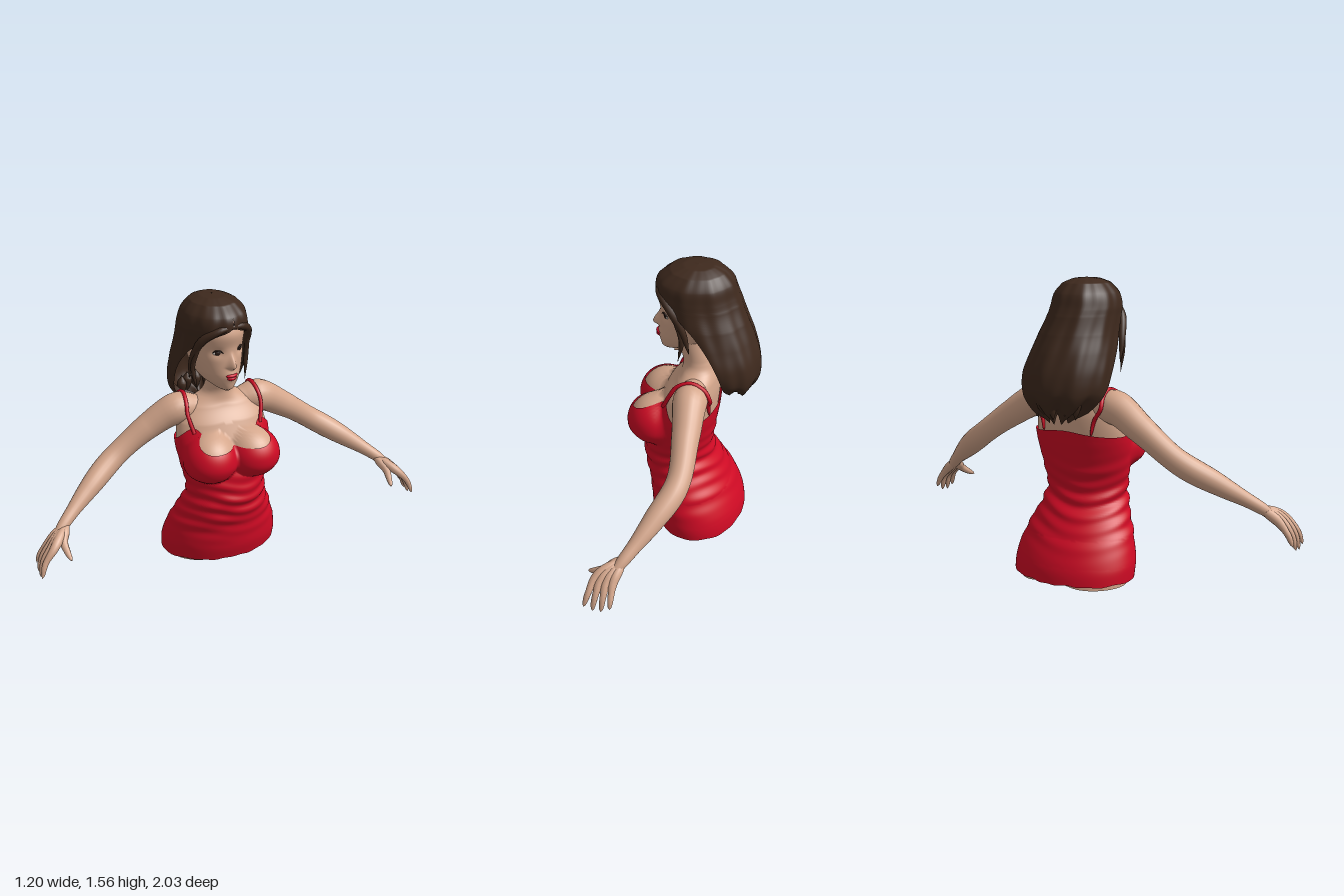
import * as THREE from 'three';
import { ParametricGeometry } from 'three/addons/geometries/ParametricGeometry.js';

const material = (name, color, side = THREE.FrontSide) => {
  const m = new THREE.MeshStandardMaterial({ color, side });
  m.name = name;
  return m;
};
const skin = material('skin', 0xd5a78c, THREE.DoubleSide);
const red = material('dressRed', 0xcf0a24, THREE.DoubleSide);
const brown = material('hairBrown', 0x3e291d, THREE.DoubleSide);
const lipRed = material('lipRed', 0xcc0a28);
const white = material('eyeWhite', 0xd8cec6);
const dark = material('eyeDark', 0x2a1b16);

const V = (x, y, z) => new THREE.Vector3(x, y, z);
const gauss = (x, s) => Math.exp(-(x * x) / (s * s));

// Smoothly interpolated cross-section row at height y (first column is y)
function rowAt(rows, y) {
  let i = 0;
  while (i < rows.length - 2 && y > rows[i + 1][0]) i++;
  const t = THREE.MathUtils.clamp((y - rows[i][0]) / (rows[i + 1][0] - rows[i][0]), 0, 1);
  const a = rows[Math.max(i - 1, 0)], b = rows[i], c = rows[i + 1], d = rows[Math.min(i + 2, rows.length - 1)];
  return b.map((p, k) => p + 0.5 * t * (c[k] - a[k] + t * (2 * a[k] - 5 * p + 4 * c[k] - d[k] + t * (3 * (p - c[k]) + d[k] - a[k]))));
}

function add(group, name, geometry, mat) {
  const mesh = new THREE.Mesh(geometry, mat);
  mesh.name = name;
  group.add(mesh);
  return mesh;
}

// Surface from a function of (angle 0..1, height 0..1)
const surface = (fn, slices, stacks) =>
  new ParametricGeometry((u, v, target) => target.copy(fn(u, v)), slices, stacks);

// Tube along points with evenly spaced radii and rounded ends
function limb(points, radii, stacks = 24, slices = 14) {
  const curve = new THREE.CatmullRomCurve3(points);
  const frames = curve.computeFrenetFrames(stacks);
  const rows = radii.map((r, i) => [i / (radii.length - 1), r]);
  return surface((u, v) => {
    const i = Math.round(THREE.MathUtils.clamp(v, 0, 1) * stacks), a = u * Math.PI * 2;
    const r = Math.max(0.001, rowAt(rows, v)[1] * Math.sqrt(Math.max(0, 1 - v ** 14)));
    return curve.getPointAt(THREE.MathUtils.clamp(v, 0, 1))
      .addScaledVector(frames.normals[i], r * Math.cos(a))
      .addScaledVector(frames.binormals[i], r * Math.sin(a));
  }, slices, stacks);
}

// Torso sections: y, centre z, half width, half depth
const TORSO = [
  [0.005, -0.285, 0.325, 0.235], [0.12, -0.262, 0.325, 0.237], [0.25, -0.222, 0.288, 0.21],
  [0.45, -0.15, 0.213, 0.175], [0.6, -0.16, 0.235, 0.172], [0.75, -0.19, 0.26, 0.16],
  [0.87, -0.22, 0.245, 0.135], [0.95, -0.245, 0.19, 0.1], [1.0, -0.245, 0.1, 0.083],
  [1.05, -0.235, 0.075, 0.078], [1.17, -0.2, 0.07, 0.078],
];
const BUST = { x: 0.122, y: 0.685, z: -0.047, r: 0.15 };

const smoothMax = (a, b, k) => {
  const h = Math.max(k - Math.abs(a - b), 0) / k;
  return Math.max(a, b) + h * h * k * 0.25;
};

function torsoPoint(angle, y, offset = 0) {
  const [, cz, w, d] = rowAt(TORSO, y);
  const s = Math.sin(angle), c = Math.cos(angle);
  let r = 1 / Math.hypot(s / w, c / d);
  // The bust is the far crossing of the ray with two spheres, blended into the chest
  const dy = (y - BUST.y) * (y > BUST.y ? 1 : 1.2);
  for (const side of [-1, 1]) {
    const bx = side * BUST.x, bz = BUST.z - cz, b = bx * s + bz * c;
    const disc = b * b - (bx * bx + bz * bz - BUST.r ** 2 + dy * dy);
    if (b > 0) r = smoothMax(r, b + disc / Math.sqrt(Math.max(disc, 0) + 0.003), 0.035);
  }
  return V(s * (r + offset), y, cz + c * (r + offset));
}

function buildBody() {
  const body = new THREE.Group();
  body.name = 'body';
  const angleOf = u => (u - 0.5) * Math.PI * 2;

  // Skin, open underneath, set inwards and raised at the middle near the hem
  add(body, 'torsoAndNeck', surface((u, v) => {
    const a = angleOf(u), low = 0.008 + 0.04 * Math.cos(a) ** 8, y = low + v * (1.17 - low);
    return torsoPoint(a, y, -0.02 * (1 - THREE.MathUtils.smoothstep(y, 0.02, 0.15)));
  }, 96, 90), skin);

  // Dress with gathered folds, a scooped neckline and an uneven hem
  const topEdge = a => 0.77 + 0.085 * gauss(Math.abs(a) - 1.08, 0.32) + 0.03 * gauss(Math.abs(a) - Math.PI, 0.9);
  add(body, 'dress', surface((u, v) => {
    const a = angleOf(u), hem = 0.037 + 0.005 * Math.sin(a * 11) * Math.sin(a * 4);
    const y = hem + v * (topEdge(a) - hem);
    const folds = 0.0055 * Math.sin(y * 85 + 2.5 * Math.sin(a * 2 + 0.6)) * gauss(y - 0.42, 0.16)
      + 0.003 * Math.sin(y * 51 - 3 * Math.sin(a + 1)) * gauss(y - 0.38, 0.2);
    return torsoPoint(a, y, 0.012 + folds);
  }, 112, 90), red);

  for (const side of [-1, 1]) {
    const label = side > 0 ? 'left' : 'right';
    const P = (x, y, z) => V(side * x, y, z);
    const T = (a, y) => torsoPoint(side * a, y, 0.012);
    const swing = side > 0 ? -0.05 : 0.01; // the left forearm is held further back

    add(body, label + 'Strap', limb([T(1.06, 0.83), P(0.213, 0.93, -0.145), P(0.208, 0.985, -0.178), P(0.2, 1.015, -0.25),
      P(0.205, 0.985, -0.322), P(0.21, 0.93, -0.352), T(2.2, 0.86), T(2.35, 0.78)], [0.011, 0.011, 0.011], 36, 8), red);

    add(body, label + 'Arm', limb([P(0.12, 0.92, -0.25), P(0.24, 0.925, -0.255), P(0.4, 0.835, -0.275),
      P(0.6, 0.695, -0.265 + swing * 0.4), P(0.78, 0.58, -0.17 + swing * 0.7), P(0.955, 0.46, -0.055 + swing),
      P(1.03, 0.395, -0.005 + swing)],
      [0.065, 0.088, 0.08, 0.072, 0.065, 0.062, 0.063, 0.059, 0.049, 0.038, 0.034, 0.025], 52, 20), skin);

    // Each finger starts inside the wrist so that together they form the palm
    [0.285, 0.255, 0.25, 0.265].forEach((y, i) => add(body, label + 'Finger', limb([
      P(0.945, 0.465, -0.062 + i * 0.006 + swing), P(1.03, 0.402, -0.035 + i * 0.03 + swing),
      P(1.085, 0.34, -0.035 + i * 0.038 + swing), P(1.112, y, -0.035 + i * 0.044 + swing)],
      [0.012, 0.023, 0.026, 0.022, 0.017, 0.015, 0.012], 20, 10), skin));
    add(body, label + 'Thumb', limb([P(0.93, 0.47, -0.06 + swing), P(0.97, 0.415, 0.015 + swing),
      P(0.965, 0.375, 0.075 + swing), P(0.955, 0.35, 0.12 + swing)], [0.014, 0.027, 0.022, 0.017, 0.012], 18, 10), skin);
  }
  return body;
}

// Head sections: y, centre z, half width, half depth
const HEAD = [
  [1.072, 0.115, 0.015, 0.022], [1.088, 0.095, 0.045, 0.062], [1.13, 0.045, 0.09, 0.122],
  [1.18, 0.015, 0.12, 0.155], [1.25, -0.002, 0.14, 0.17], [1.32, -0.008, 0.147, 0.176],
  [1.4, -0.008, 0.15, 0.187], [1.48, -0.02, 0.13, 0.155], [1.53, -0.02, 0.05, 0.06],
];
function headPoint(a, y) {
  const [, cz, w, d] = rowAt(HEAD, y);
  const p = V(Math.sin(a) * w, y, cz + Math.cos(a) * d);
  if (Math.cos(a) > 0) {
    const ridge = THREE.MathUtils.smoothstep(1.31 - y, 0, 0.085) * (1 - THREE.MathUtils.smoothstep(1.225 - y, 0, 0.03));
    p.z += 0.036 * ridge * gauss(p.x, 0.01 + 0.012 * ridge);
    p.z -= 0.011 * gauss(Math.abs(p.x) - 0.068, 0.03) * gauss(y - 1.3, 0.025);
    p.z += 0.01 * gauss(p.x, 0.04) * gauss(y - 1.165, 0.025);
  }
  return p;
}

// Hair sections: y, centre x, centre z, half width, half depth, half angle open at the face
const HAIR = [
  [0.88, 0.07, -0.22, 0.05, 0.05, 1.5], [0.93, 0.065, -0.2, 0.15, 0.125, 1.55], [1.0, 0.06, -0.175, 0.215, 0.18, 1.5],
  [1.1, 0.055, -0.15, 0.23, 0.2, 1.45], [1.2, 0.04, -0.105, 0.218, 0.215, 1.4], [1.3, 0.025, -0.06, 0.198, 0.217, 1.2],
  [1.38, 0.008, -0.03, 0.182, 0.214, 0.75], [1.43, 0, -0.015, 0.176, 0.207, 0.1], [1.49, 0, -0.01, 0.16, 0.19, 0],
  [1.54, 0, -0.015, 0.118, 0.14, 0], [1.562, 0, -0.02, 0.065, 0.08, 0], [1.568, 0, -0.02, 0.002, 0.002, 0],
];
function hairPoint(u, v) {
  const y = 0.88 + 0.688 * Math.sin(v * Math.PI / 2);
  const [, cx, cz, w, d, open] = rowAt(HAIR, y);
  const gap = Math.max(0, open), a = gap + u * (Math.PI * 2 - 2 * gap);
  const r = 1 + 0.014 * Math.sin(a * 9 + y * 6) + 0.007 * Math.sin(a * 17 - y * 9);
  const ragged = 0.025 * Math.sin(a * 8) * Math.max(0, 1 - v * 6);
  return V(cx + Math.sin(a) * Math.max(w, 0.002) * r, y + ragged, cz + Math.cos(a) * Math.max(d, 0.002) * r);
}

function buildHead() {
  const head = new THREE.Group();
  head.name = 'head';
  add(head, 'face', surface((u, v) => headPoint((u - 0.5) * Math.PI * 2, 1.072 + v * 0.458), 128, 72), skin);
  add(head, 'hair', surface(hairPoint, 96, 64), brown);

  const blob = (name, mat, p, sx, sy, sz, turn = 0) => {
    const mesh = add(head, name, new THREE.SphereGeometry(1, 20, 14), mat);
    mesh.position.copy(p);
    mesh.scale.set(sx, sy, sz);
    mesh.rotation.y = turn;
  };
  for (const side of [-1, 1]) {
    const eye = headPoint(side * 0.49, 1.3);
    blob('eyeWhite', white, eye, 0.024, 0.011, 0.006, side * 0.4);
    blob('iris', dark, eye.clone().add(V(0, 0, 0.003)), 0.015, 0.012, 0.007, side * 0.4);
    const lash = [0.31, 0.4, 0.5, 0.6, 0.67].map((a, i) =>
      headPoint(side * a, 1.3 + [0, 0.011, 0.014, 0.011, 0.004][i]).add(V(0, 0, 0.004)));
    add(head, 'eyelashes', limb(lash, [0.002, 0.005, 0.005, 0.003], 16, 6), dark);
    blob('lowerLip', lipRed, headPoint(side * 0.06, 1.156).add(V(0, 0, -0.003)), 0.023, 0.011, 0.012, side * 0.3);
    blob('upperLip', lipRed, headPoint(side * 0.1, 1.171).add(V(0, 0, -0.003)), 0.025, 0.009, 0.011, side * 0.35);

    // Swept fringe and thin loose locks beside the face
    add(head, 'fringe', limb([V(-side * 0.02, 1.445, 0.18), V(side * 0.07, 1.43, 0.165), V(side * 0.14, 1.375, 0.11),
      V(side * 0.165, 1.27, 0.05), V(side * 0.168, 1.14, 0.015)], [0.012, 0.02, 0.022, 0.02, 0.015, 0.006], 30, 10), brown);
    add(head, 'looseLock', limb([V(side * 0.15, 1.35, 0.095), V(side * 0.168, 1.22, 0.055), V(side * 0.15, 1.08, 0.07)],
      [0.012, 0.013, 0.011, 0.002], 18, 8), brown);
  }
  // Ragged tips at the back of the hair
  for (let i = 0; i < 5; i++) {
    const a = 2.25 + i * 0.42, x = 0.065 + Math.sin(a) * 0.15, z = -0.19 + Math.cos(a) * 0.12;
    add(head, 'hairTip', limb([V(x, 1.02, z), V(x, 0.95, z), V(x * 0.9, 0.885 + 0.02 * (i % 2), z)],
      [0.002, 0.028, 0.02, 0.004], 14, 8), brown);
  }
  return head;
}

export function createModel() {
  const model = new THREE.Group();
  model.name = 'womanBust';
  const body = buildBody();
  body.rotation.y = THREE.MathUtils.degToRad(60);
  const head = buildHead();
  head.position.set(-0.19, 0, -0.065);
  head.rotation.y = THREE.MathUtils.degToRad(72);
  model.add(body, head);
  return model;
}
